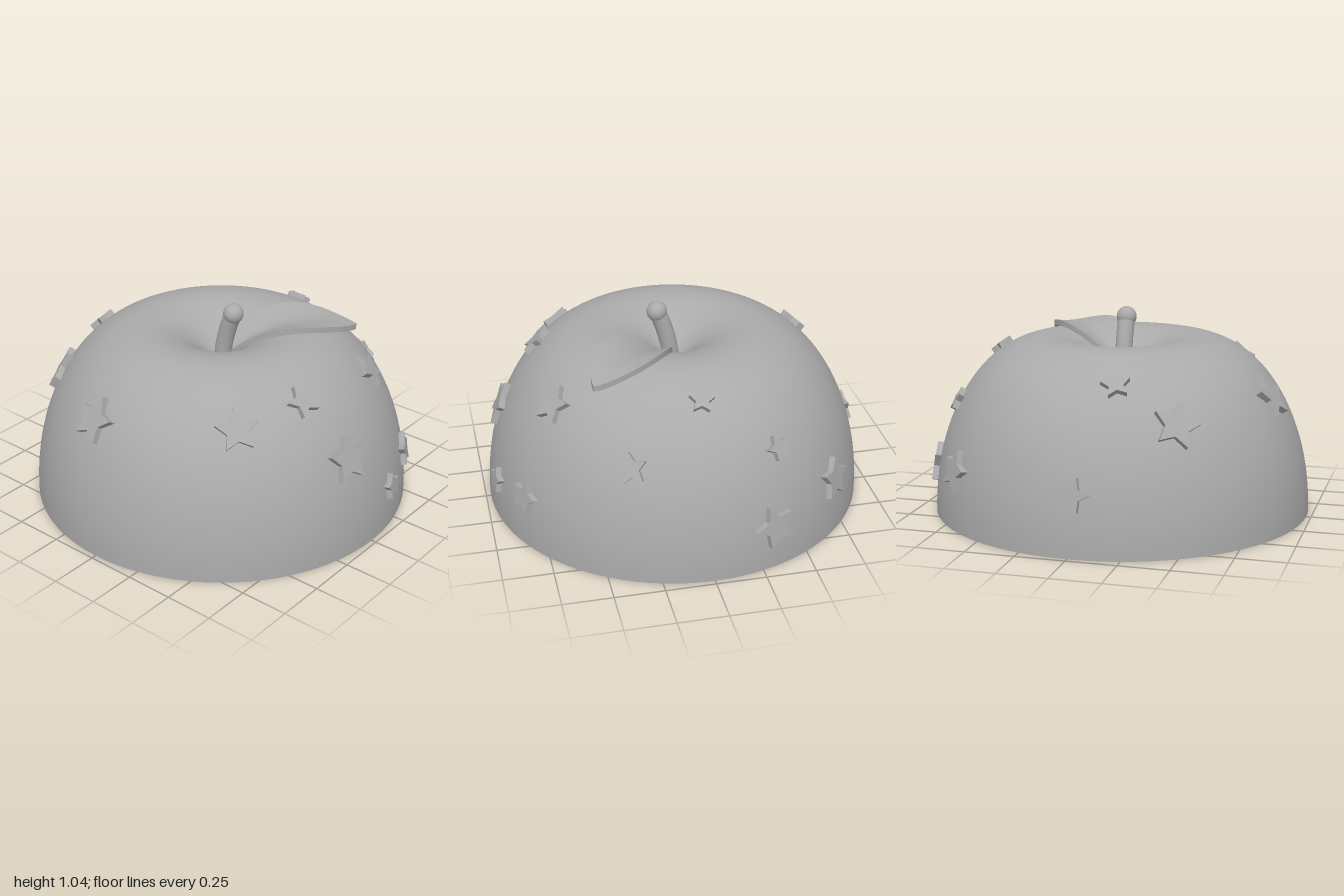
import * as THREE from 'three';
import { toCreasedNormals } from 'three/addons/utils/BufferGeometryUtils.js';

const CENTRE = 0.4; // radius at which the shell is highest

// Arc of an ellipse from the base, over the shoulder and into the dimple
function arc(a, b, steps = 48) {
  const end = Math.acos(-CENTRE / a);
  return Array.from({ length: steps + 1 }, (_, i) => {
    const t = (i / steps) * end;
    return new THREE.Vector2(Math.max(0, CENTRE + a * Math.cos(t)), b * Math.sin(t));
  });
}

const OUTER = [0.575, 0.9], INNER = [0.538, 0.862];

// Five-pointed star plate, slightly sunk into the shell
function starGeometry(radius) {
  const shape = new THREE.Shape();
  for (let i = 0; i < 10; i++) {
    const r = i % 2 ? radius * 0.5 : radius;
    const a = Math.PI / 2 + (i * Math.PI) / 5;
    if (i === 0) shape.moveTo(r * Math.cos(a), r * Math.sin(a));
    else shape.lineTo(r * Math.cos(a), r * Math.sin(a));
  }
  shape.closePath();
  const geo = new THREE.ExtrudeGeometry(shape, { depth: 0.05, bevelEnabled: false });
  return geo.translate(0, 0, -0.022);
}

// Puts a star on the shell, facing outward, turned by spin degrees
function placeStar(mesh, x, z, y, spin) {
  const [a, b] = OUTER;
  const phi = Math.atan2(x, z), t = Math.asin(y / b);
  const r = CENTRE + a * Math.cos(t);
  const flat = new THREE.Vector3(Math.sin(phi), 0, Math.cos(phi));
  const normal = flat.clone().multiplyScalar(Math.cos(t) / a);
  normal.y = Math.sin(t) / b;
  normal.normalize();
  const right = new THREE.Vector3(Math.cos(phi), 0, -Math.sin(phi));
  const up = normal.clone().cross(right);
  mesh.quaternion.setFromRotationMatrix(new THREE.Matrix4().makeBasis(right, up, normal));
  mesh.rotateZ(THREE.MathUtils.degToRad(spin));
  mesh.position.copy(flat).multiplyScalar(r).setY(y);
}

// Arched leaf with a folded middle, built from cross-sections
function leafGeometry() {
  const ridge = new THREE.SplineCurve([
    [0, 0.74], [0.25, 0.842], [0.5, 0.898], [0.75, 0.905], [1, 0.87],
  ].map(([t, y]) => new THREE.Vector2(t, y)));
  const steps = 28, across = 8, thick = 0.03, ring = 2 * (across + 1);
  const pos = [], index = [];
  for (let i = 0; i <= steps; i++) {
    const p = ridge.getPoint(i / steps);
    const t = THREE.MathUtils.clamp(p.x, 0, 1);
    const half = 0.16 * Math.pow(Math.max(0, Math.sin(Math.PI * t)), 0.8);
    const lift = half * 0.62 * Math.pow(1 - t, 1.4);
    for (let k = 0; k < ring; k++) {
      const top = k <= across;
      const s = ((top ? k : ring - 1 - k) / across) * 2 - 1;
      const along = t * 0.67;
      pos.push(
        0.02 + 0.7 * along + 0.714 * s * half,
        p.y + lift * Math.pow(Math.abs(s), 1.3) - (top ? 0 : thick),
        -0.02 - 0.714 * along + 0.7 * s * half,
      );
    }
  }
  for (let i = 0; i < steps; i++) {
    for (let k = 0; k < ring; k++) {
      const a = i * ring + k, b = i * ring + ((k + 1) % ring);
      index.push(a, b, a + ring, b, b + ring, a + ring);
    }
  }
  const geo = new THREE.BufferGeometry();
  geo.setAttribute('position', new THREE.Float32BufferAttribute(pos, 3));
  geo.setIndex(index);
  return toCreasedNormals(geo, 0.7);
}

// x, z, height, radius, spin
const STARS = [
  [-0.14, 0.83, 0.64, 0.12, -3],
  [-0.74, 0.48, 0.6, 0.12, -20],
  [0.56, 0.56, 0.71, 0.11, 5],
  [0.71, 0.22, 0.77, 0.085, 12],
  [0.92, 0.12, 0.49, 0.12, -5],
  [0.98, -0.2, 0.22, 0.068, 0],
  [0.87, -0.48, 0.27, 0.088, -8],
  [0.7, -0.38, 0.71, 0.1, 5],
  [0.39, -0.83, 0.56, 0.08, 15],
  [0, -0.7, 0.81, 0.065, -10],
  [-0.36, -0.8, 0.58, 0.065, 15],
  [-0.32, -0.95, 0.23, 0.11, 17],
  [-0.69, -0.68, 0.3, 0.11, -10],
  [-0.7, 0.16, 0.77, 0.075, 10],
  [-0.98, 0.02, 0.3, 0.085, -15],
];

export function createModel() {
  const model = new THREE.Group();
  const grey = new THREE.MeshStandardMaterial({ color: 0xaaaaaa });
  grey.name = 'plain grey';
  const add = (name, geometry, parent = model) => {
    const mesh = new THREE.Mesh(geometry, grey);
    mesh.name = name;
    parent.add(mesh);
    return mesh;
  };

  // Hollow half fruit
  const shell = new THREE.Group();
  shell.name = 'shell';
  model.add(shell);
  const outer = arc(...OUTER), inner = arc(...INNER).reverse();
  add('outerSkin', new THREE.LatheGeometry(outer, 96), shell);
  add('innerWall', new THREE.LatheGeometry(inner, 96), shell);
  add('bottomRim', new THREE.LatheGeometry([inner[inner.length - 1], outer[0]], 96), shell);

  // Leaning stem with a round end
  const stem = new THREE.Group();
  stem.name = 'stem';
  model.add(stem);
  const path = new THREE.CatmullRomCurve3([
    [0, 0.62], [0.015, 0.78], [0.045, 0.9], [0.078, 0.985],
  ].map(([x, y]) => new THREE.Vector3(x, y, 0)));
  add('stemShaft', new THREE.TubeGeometry(path, 24, 0.044, 24), stem);
  add('stemTip', new THREE.SphereGeometry(0.052, 24, 16), stem).position.set(0.078, 0.985, 0);

  add('leaf', leafGeometry());

  // Scattered stars
  const stars = new THREE.Group();
  stars.name = 'stars';
  model.add(stars);
  for (const [x, z, y, radius, spin] of STARS) {
    placeStar(add('star', starGeometry(radius), stars), x, z, y, spin);
  }
  return model;
}
